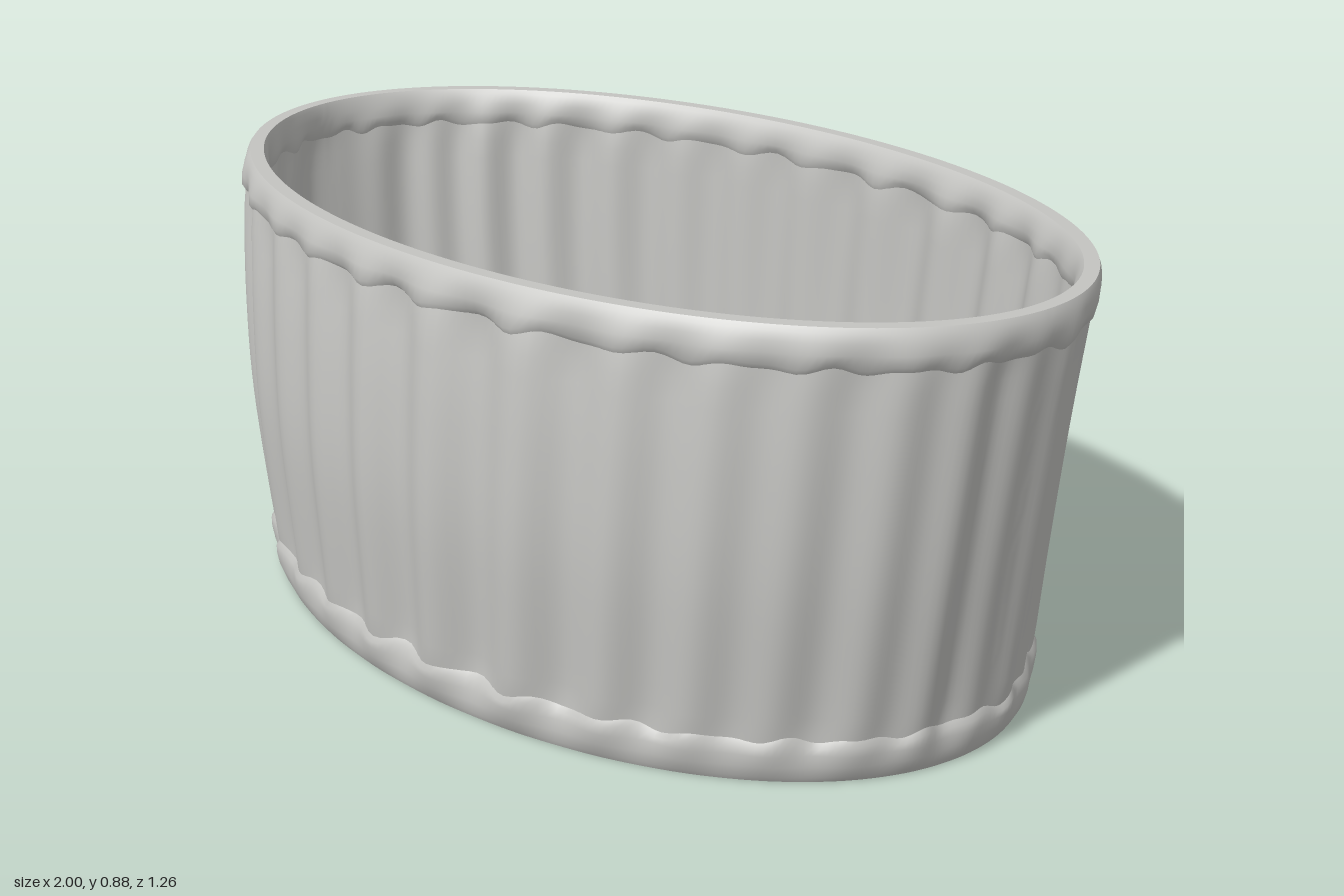
import * as THREE from 'three';
import { toCreasedNormals } from 'three/addons/utils/BufferGeometryUtils.js';

const HEIGHT = 0.875, AROUND = 320, THICK = 0.028;

// Smooth interpolation through a few [y, value] stations
function profile(stations) {
  const curve = new THREE.SplineCurve(stations.map(([y, v]) => new THREE.Vector2(y, v)));
  const points = curve.getPoints(80);
  return (y) => {
    for (let i = 1; i < points.length; i++) {
      const a = points[i - 1], b = points[i];
      if (y <= b.x) return a.y + (b.y - a.y) * Math.max(0, (y - a.x) / (b.x - a.x));
    }
    return points[points.length - 1].y;
  };
}

// Outline of the outer face: tapering sides, bulging front, nearly upright back
const sideReach = profile([[0, 0.905], [0.1, 0.913], [0.4, 0.947], [0.65, 0.972], [0.82, 0.988], [HEIGHT, 0.99]]);
const frontReach = profile([[0, 0.592], [0.1, 0.597], [0.38, 0.614], [0.6, 0.604], [0.8, 0.579], [HEIGHT, 0.567]]);
const backReach = profile([[0, 0.595], [0.1, 0.597], [0.4, 0.603], [0.8, 0.613], [HEIGHT, 0.624]]);

// Gathered folds, strong on the long walls and soft at the ends and the hems
function ruffle(t, y) {
  const s = Math.abs(Math.sin(t));
  const fade = THREE.MathUtils.smoothstep(y, -0.01, 0.11) * (1 - THREE.MathUtils.smoothstep(y, 0.76, HEIGHT));
  const bend = 0.7 * Math.sin(Math.PI * y / HEIGHT);
  const folds = Math.cos(32 * t + Math.PI + bend + 0.7 * Math.sin(3 * t) + 0.35 * Math.sin(7 * t));
  const broad = Math.cos(14 * t + 0.8 + bend);
  const vary = 0.85 + 0.25 * Math.sin(5 * t + 1);
  return fade * (0.016 * vary * (0.2 + 0.8 * s) * folds + 0.008 * (1 - s) * broad);
}

// Sweep a cross-section of [offset, y, scallop] points around the oval
function sweep(section, closed = false) {
  const positions = [], index = [], n = section.length;
  for (let i = 0; i < AROUND; i++) {
    const t = (i / AROUND) * Math.PI * 2;
    const c = Math.cos(t), s = Math.sin(t);
    const wobble = 0.005 * Math.sin(32 * t) + 0.003 * Math.sin(51 * t + 1);
    for (const [offset, y0, scallop = 0] of section) {
      const y = y0 + scallop * wobble;
      const a = sideReach(y), f = frontReach(y), b = backReach(y);
      const half = (f + b) / 2, mid = (f - b) / 2;
      const length = Math.hypot(c / a, s / half);
      const d = offset + ruffle(t, y);
      positions.push(a * c + d * (c / a) / length, y, mid + half * s + d * (s / half) / length);
    }
  }
  for (let i = 0; i < AROUND; i++) {
    const p = i * n, q = ((i + 1) % AROUND) * n;
    for (let j = 0; j < (closed ? n : n - 1); j++) {
      const k = (j + 1) % n;
      index.push(p + j, p + k, q + j, q + j, p + k, q + k);
    }
  }
  const geometry = new THREE.BufferGeometry();
  geometry.setAttribute('position', new THREE.Float32BufferAttribute(positions, 3));
  geometry.setIndex(index);
  return toCreasedNormals(geometry, 0.8);
}

export function createModel() {
  const cloth = new THREE.MeshStandardMaterial({ color: 0xc4c4c1 });
  cloth.name = 'pale grey cloth';
  const group = new THREE.Group();
  group.name = 'ruffledBand';
  const add = (name, geometry) => {
    const mesh = new THREE.Mesh(geometry, cloth);
    mesh.name = name;
    group.add(mesh);
  };

  // Pleated wall: an outer and an inner sheet between the hems
  const rows = 20, outer = [], inner = [];
  for (let j = 0; j <= rows; j++) {
    const y = 0.05 + (0.79 * j) / rows;
    outer.push([0, y]);
    inner.unshift([-THICK, y]);
  }
  add('outerWall', sweep(outer));
  add('innerWall', sweep(inner));

  // Rounded hems folded over the upper and lower edges
  add('topHem', sweep([
    [-0.002, 0.795, 1], [0.008, 0.808, 1], [0.011, 0.83], [0.009, 0.85], [0.005, 0.866], [0, HEIGHT],
    [-THICK, HEIGHT], [-THICK - 0.004, 0.866], [-THICK - 0.008, 0.845], [-THICK - 0.009, 0.825],
    [-THICK - 0.006, 0.808, 1], [-THICK + 0.002, 0.795, 1],
  ], true));
  add('bottomHem', sweep([
    [0, 0], [0.006, 0.012], [0.011, 0.035], [0.011, 0.058], [0.008, 0.075, 1], [-0.002, 0.088, 1],
    [-THICK + 0.002, 0.088, 1], [-THICK - 0.006, 0.075, 1], [-THICK - 0.009, 0.055],
    [-THICK - 0.008, 0.032], [-THICK - 0.004, 0.012], [-THICK, 0],
  ], true));
  return group;
}
